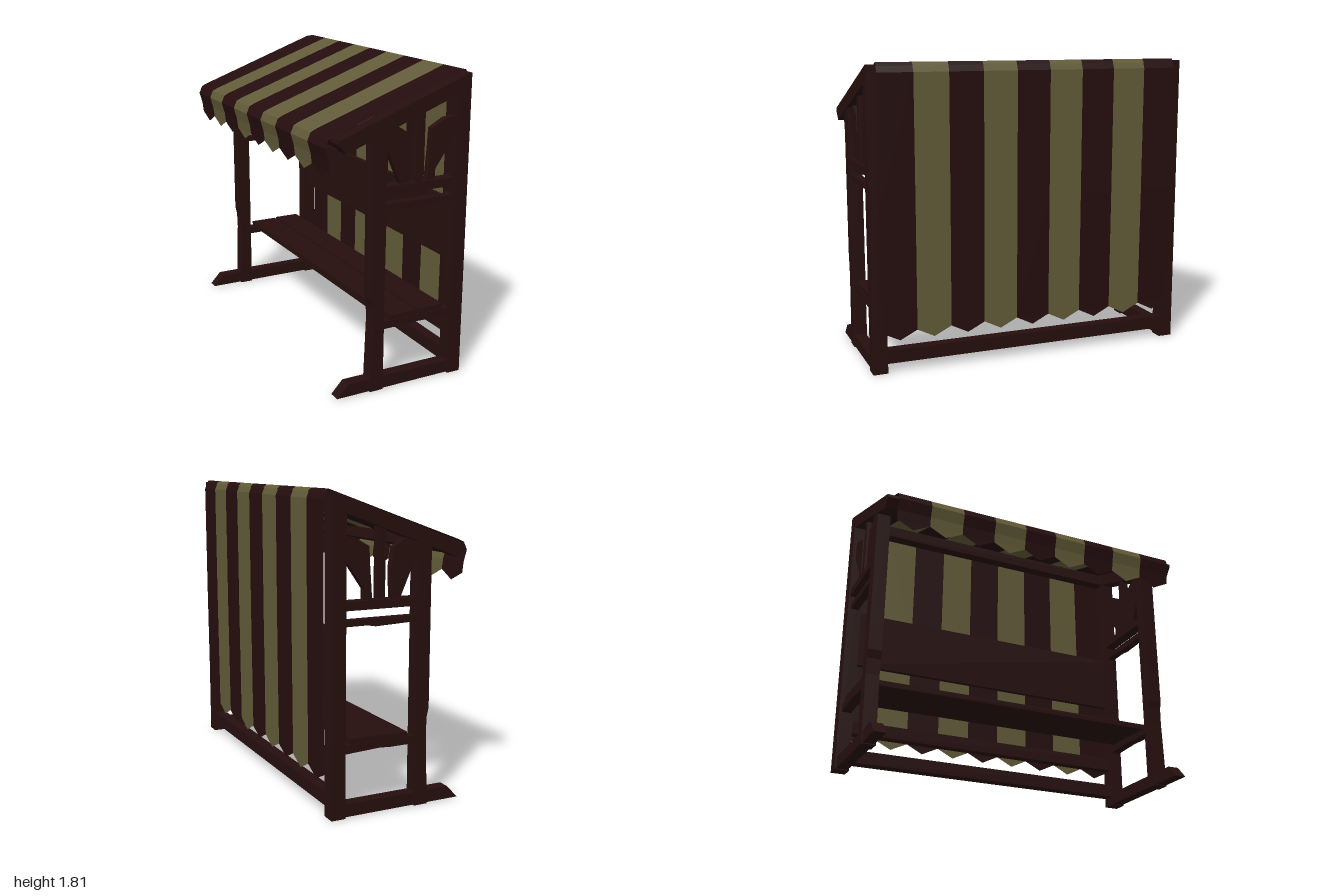
import * as THREE from 'three';

const wood = new THREE.MeshStandardMaterial({ color: 0x260f0e });
wood.name = 'dark wood';
const darkCloth = new THREE.MeshStandardMaterial({ color: 0x250d0e, side: THREE.DoubleSide });
darkCloth.name = 'dark cloth';
const lightCloth = new THREE.MeshStandardMaterial({ color: 0x625b38, side: THREE.DoubleSide });
lightCloth.name = 'light cloth';

// Outline in x-y, extruded from z0 to z1
function plate(name, points, z0, z1) {
  const shape = new THREE.Shape(points.map(([x, y]) => new THREE.Vector2(x, y)));
  const geo = new THREE.ExtrudeGeometry(shape, { depth: z1 - z0, bevelEnabled: false });
  geo.translate(0, 0, z0);
  const mesh = new THREE.Mesh(geo, wood);
  mesh.name = name;
  return mesh;
}

function bar(name, x0, x1, y0, y1, z0, z1) {
  return plate(name, [[x0, y0], [x1, y0], [x1, y1], [x0, y1]], z0, z1);
}

// Cloth strip following an x-y path; an optional tip makes a pointed lower end
function clothStrip(path, tip, z0, z1) {
  const pos = [];
  for (let i = 0; i < path.length - 1; i++) {
    const [ax, ay] = path[i], [bx, by] = path[i + 1];
    pos.push(ax, ay, z0, bx, by, z0, bx, by, z1, ax, ay, z0, bx, by, z1, ax, ay, z1);
  }
  if (tip) {
    const [ex, ey] = path[path.length - 1];
    pos.push(ex, ey, z0, tip[0], tip[1], (z0 + z1) / 2, ex, ey, z1);
  }
  const geo = new THREE.BufferGeometry();
  geo.setAttribute('position', new THREE.Float32BufferAttribute(pos, 3));
  geo.computeVertexNormals();
  return geo;
}

function endFrame(sign) {
  const g = new THREE.Group();
  g.name = sign > 0 ? 'frontEndFrame' : 'backEndFrame';
  const add = (name, pts, a, b) =>
    g.add(plate(name, pts, sign > 0 ? a : -b, sign > 0 ? b : -a));
  const rect = (x0, x1, y0, y1) => [[x0, y0], [x1, y0], [x1, y1], [x0, y1]];

  // Posts and foot
  add('curtainPost', [[0.34, 0], [0.425, 0], [0.425, 1.775], [0.34, 1.745]], 0.912, 1);
  add('openSidePost', [[-0.19, 0], [-0.105, 0], [-0.105, 1.58], [-0.19, 1.55],
    [-0.19, 0.57], [-0.178, 0.52], [-0.175, 0.42]], 0.912, 0.995);
  add('foot', [[-0.4, 0.005], [0.36, 0.005], [0.36, 0.08], [-0.33, 0.08]], 0.92, 0.99);

  // Cross rails
  add('seatSupport', [[-0.175, 0.37], [0.05, 0.37], [0.12, 0.375], [0.34, 0.365],
    [0.34, 0.415], [-0.175, 0.415]], 0.925, 0.985);
  add('lowerRail', [[-0.11, 1.072], [0.15, 1.063], [0.2, 1.072], [0.345, 1.072],
    [0.345, 1.107], [-0.11, 1.107]], 0.93, 0.98);
  add('upperRail', rect(-0.11, 0.345, 1.16, 1.21), 0.92, 0.99);

  // Gable: rafter, centre strut and leaf-shaped braces
  add('rafter', [[0.425, 1.71], [0.425, 1.795], [0.41, 1.793], [-0.4, 1.495], [-0.405, 1.475],
    [-0.36, 1.42], [0.34, 1.68]], 0.915, 1);
  add('centreStrut', rect(0.094, 0.138, 1.2, 1.62), 0.93, 0.98);
  add('openSideBrace', [[0, 1.2], [0.05, 1.2], [0.055, 1.38], [0.04, 1.49],
    [-0.03, 1.535], [-0.11, 1.53], [-0.11, 1.45]], 0.935, 0.975);
  add('curtainSideBrace', [[0.17, 1.2], [0.22, 1.2], [0.22, 1.27], [0.345, 1.45],
    [0.345, 1.56], [0.28, 1.55], [0.19, 1.5], [0.185, 1.4]], 0.935, 0.975);
  return g;
}

export function createModel() {
  const model = new THREE.Group();
  model.name = 'marketStall';
  model.add(endFrame(1), endFrame(-1));

  // Long beams joining the two ends
  const L = 0.915;
  model.add(
    bar('groundBeam', 0.345, 0.415, 0.055, 0.135, -L, L),
    bar('seatBeam', 0.35, 0.41, 0.24, 0.32, -L, L),
    bar('topBeam', 0.345, 0.415, 1.68, 1.755, -L, L),
    plate('eaveBeam', [[-0.36, 1.43], [-0.31, 1.45], [-0.32, 1.515], [-0.4, 1.485]], -L, L),
    bar('backBoard', 0.36, 0.39, 0.7, 1.06, -L, L),
    bar('outerSeatPlank', -0.06, 0.122, 0.41, 0.443, -0.98, 0.98),
    bar('innerSeatPlank', 0.13, 0.3, 0.412, 0.448, -0.98, 0.98)
  );

  // Striped cloth: sloping roof, pointed valance and pointed long curtain
  const roof = [[0.44, 1.785], [0.42, 1.806], [0, 1.655], [-0.4, 1.512], [-0.435, 1.495]];
  const valance = [[-0.435, 1.495], [-0.455, 1.45], [-0.435, 1.38], [-0.428, 1.32]];
  const curtain = [[0.43, 1.795], [0.449, 1.75], [0.447, 1], [0.442, 0.252]];
  const count = 9, z0 = -0.945, width = 1.89 / count;
  for (let i = 0; i < count; i++) {
    const a = z0 + i * width, b = a + width;
    const mat = i % 2 ? lightCloth : darkCloth;
    [['roofStripe', roof, null], ['valanceStripe', valance, [-0.424, 1.27]],
      ['curtainStripe', curtain, [0.442, 0.2]]].forEach(([name, path, tip]) => {
      const mesh = new THREE.Mesh(clothStrip(path, tip, a, b), mat);
      mesh.name = name + (i + 1);
      model.add(mesh);
    });
  }
  return model;
}
